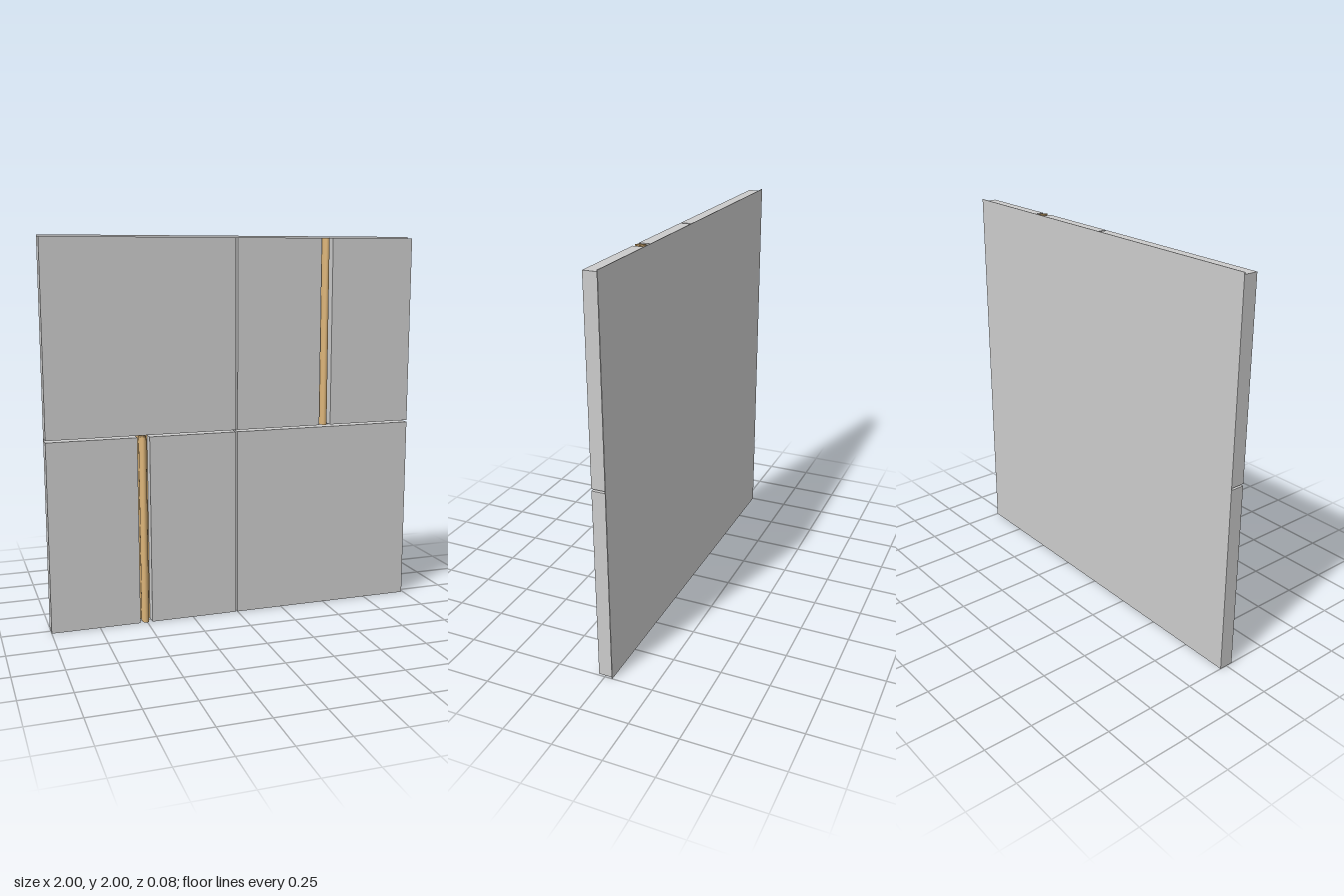
import * as THREE from 'three';
import { mergeVertices } from 'three/addons/utils/BufferGeometryUtils.js';

const SIZE = 0.99;          // tile edge; the remaining 0.01 is the joint
const BACK = -0.036, FRONT = 0.036, FLOOR = -0.025;
const GROOVE = 0.064;

const grey = new THREE.MeshStandardMaterial({ color: 0xcccccc });
const gold = new THREE.MeshStandardMaterial({ color: 0xdcb478 });

function add(parent, name, geometry, material, x, y, z) {
  const mesh = new THREE.Mesh(geometry, material);
  mesh.name = name;
  mesh.position.set(x, y, z);
  parent.add(mesh);
  return mesh;
}

// Tile with a vertical channel: plan outline (x, -z) extruded upwards
function groovedTile() {
  const h = SIZE / 2, g = GROOVE / 2;
  const outline = [
    [-h, BACK], [-h, FRONT], [-g, FRONT], [-g, FLOOR],
    [g, FLOOR], [g, FRONT], [h, FRONT], [h, BACK],
  ].map(([x, z]) => new THREE.Vector2(x, -z));
  return new THREE.ExtrudeGeometry(new THREE.Shape(outline), { depth: SIZE, bevelEnabled: false })
    .rotateX(-Math.PI / 2);
}

// Elliptical rod whose normals blend smoothly across the end caps
function rodGeometry() {
  const geometry = new THREE.CylinderGeometry(1, 1, SIZE, 16).scale(0.019, 1, 0.031);
  geometry.deleteAttribute('uv');
  geometry.deleteAttribute('normal');
  const merged = mergeVertices(geometry, 1e-5);
  merged.computeVertexNormals();
  return merged;
}

export function createModel() {
  const model = new THREE.Group();
  model.name = 'wallPanel';

  // Thin backing sheet that shows in the joints
  add(model, 'backingSheet', new THREE.BoxGeometry(2, 2, 0.004), grey, 0, 1, -0.038);

  const plain = new THREE.BoxGeometry(SIZE, SIZE, FRONT - BACK);
  const grooved = groovedTile();
  const rod = rodGeometry();
  const strip = new THREE.BoxGeometry(GROOVE, SIZE, 0.002);

  for (const col of [0, 1]) {
    for (const row of [0, 1]) {
      const x = col - 1 + SIZE / 2, mid = row + SIZE / 2;
      const tile = new THREE.Group();
      tile.name = (row ? 'upper' : 'lower') + (col ? 'Left' : 'Right') + 'Tile';
      model.add(tile);
      if (col !== row) {
        add(tile, 'plainPanel', plain, grey, x, mid, (FRONT + BACK) / 2);
        continue;
      }
      // Channel with a gilded floor and an inlaid rod
      add(tile, 'groovedPanel', grooved, grey, x, row, 0);
      add(tile, 'channelFloor', strip, gold, x, mid, FLOOR + 0.001);
      add(tile, 'inlayRod', rod, gold, x, mid, 0.009);
    }
  }
  return model;
}
